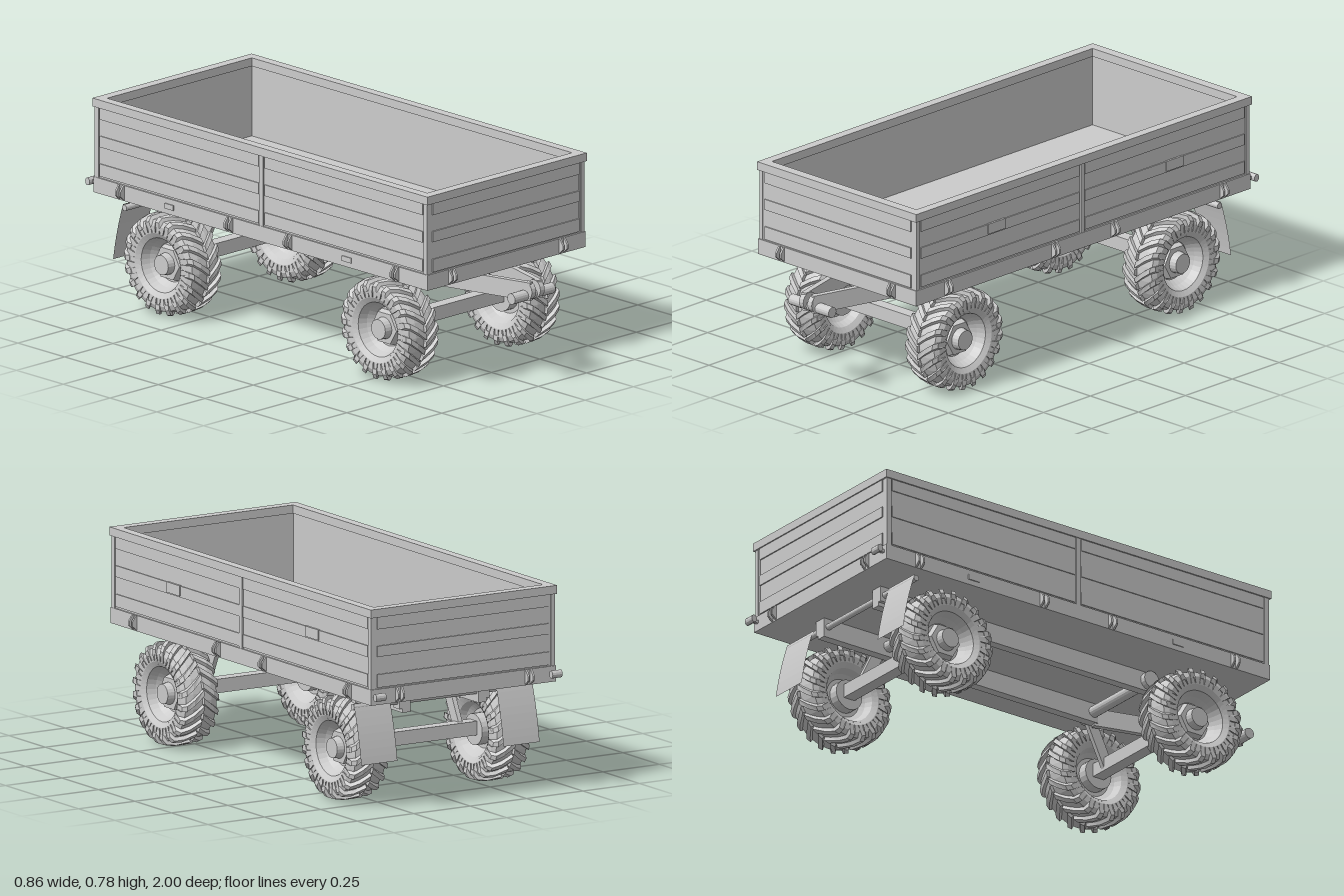
import * as THREE from 'three';

const grey = new THREE.MeshStandardMaterial({ color: 0xcccccc, flatShading: true });
const thin = new THREE.MeshStandardMaterial({ color: 0xcccccc, flatShading: true, side: THREE.DoubleSide });
const V = (x, y, z) => new THREE.Vector3(x, y, z);

function add(parent, name, geometry, material = grey) {
  const mesh = new THREE.Mesh(geometry, material);
  mesh.name = name;
  parent.add(mesh);
  return mesh;
}

// Box given by its extents on each axis
function box(parent, name, x0, x1, y0, y1, z0, z1) {
  const m = add(parent, name, new THREE.BoxGeometry(x1 - x0, y1 - y0, z1 - z0));
  m.position.set((x0 + x1) / 2, (y0 + y1) / 2, (z0 + z1) / 2);
  return m;
}

// Cylinder lying along x
function rod(parent, name, x0, x1, y, z, r, sides = 16) {
  const m = add(parent, name, new THREE.CylinderGeometry(r, r, Math.abs(x1 - x0), sides));
  m.rotation.z = Math.PI / 2;
  m.position.set((x0 + x1) / 2, y, z);
  return m;
}

// Square bar between two points
function beam(parent, name, a, b, width, height) {
  const m = add(parent, name, new THREE.BoxGeometry(width, height, a.distanceTo(b)));
  m.position.copy(a).add(b).multiplyScalar(0.5);
  m.lookAt(b);
  return m;
}

// Swept chevron lugs around the x axis, staggered between the two halves
function treadGeometry() {
  const stations = [[0, 0.18, 0], [0, 0.198, 0], [0.042, 0.197, 0.17], [0.07, 0.189, 0.28],
    [0.081, 0.17, 0.32], [0.079, 0.15, 0.33], [0.068, 0.148, 0.33]];
  const pos = [], index = [], count = 20;
  for (const side of [1, -1]) for (let i = 0; i < count; i++) {
    const phi0 = (i + (side > 0 ? 0.5 : 0)) / count * Math.PI * 2;
    const base = pos.length / 3;
    stations.forEach(([x, r, sweep], k) => {
      const low = k === 0 ? r : r - 0.022;
      [[low, -0.085], [r, -0.055], [r, 0.055], [low, 0.085]].forEach(([rad, d]) => {
        const phi = phi0 - sweep + d;
        pos.push(side * x, rad * Math.cos(phi), rad * Math.sin(phi));
      });
      if (k === 0) return;
      for (let j = 0; j < 3; j++) {
        const a = base + (k - 1) * 4 + j, b = a + 4;
        if (side > 0) index.push(a, a + 1, b, b, a + 1, b + 1);
        else index.push(a, b, a + 1, b, b + 1, a + 1);
      }
    });
  }
  const g = new THREE.BufferGeometry();
  g.setAttribute('position', new THREE.Float32BufferAttribute(pos, 3));
  g.setIndex(index);
  g.computeVertexNormals();
  return g;
}

const lathe = (points, sides) =>
  new THREE.LatheGeometry(points.map(([r, h]) => new THREE.Vector2(r, h)), sides);

function createWheel(side, tread) {
  const wheel = new THREE.Group();
  wheel.name = 'wheel';
  add(wheel, 'tread', tread, thin);
  const turned = new THREE.Group();
  turned.name = 'tyreAndRim';
  turned.rotation.z = -side * Math.PI / 2;
  wheel.add(turned);
  add(turned, 'tyre', lathe([[0.105, -0.062], [0.125, -0.074], [0.155, -0.077], [0.175, -0.068], [0.183, -0.04],
    [0.184, 0], [0.183, 0.04], [0.175, 0.068], [0.155, 0.077], [0.125, 0.074], [0.105, 0.062]], 40), thin);
  add(turned, 'rim', lathe([[0, -0.02], [0.075, -0.02], [0.092, -0.035], [0.105, -0.062], [0.113, -0.067],
    [0.113, 0.067], [0.105, 0.062], [0.092, 0.03], [0.075, 0.005], [0, 0.005]], 32), thin);
  const hub = (name, r0, r1, y0, y1, sides) => {
    add(turned, name, new THREE.CylinderGeometry(r1, r0, y1 - y0, sides)).position.y = (y0 + y1) / 2;
  };
  hub('hubPlate', 0.075, 0.066, 0, 0.03, 6);
  hub('hubCap', 0.042, 0.038, 0.03, 0.06, 20);
  hub('brakeDrum', 0.06, 0.06, -0.06, -0.02, 20);
  return wheel;
}

// Pair of pointed hinge lugs, protruding along +z
function createHinge() {
  const hinge = new THREE.Group();
  hinge.name = 'hinge';
  const s = new THREE.Shape([[0, 0.423], [0.02, 0.44], [0.02, 0.457], [0.004, 0.48], [0, 0.48]]
    .map(([x, y]) => new THREE.Vector2(x, y)));
  for (const x of [-0.011, 0.011]) {
    const g = new THREE.ExtrudeGeometry(s, { depth: 0.008, bevelEnabled: false });
    g.rotateY(-Math.PI / 2);
    add(hinge, 'hingeLug', g).position.x = x + 0.004;
  }
  return hinge;
}

export function createModel() {
  const root = new THREE.Group();
  root.name = 'farmTrailer';
  const X = 0.41, F = 0.83, B = -0.955;

  // Load bed and walls
  const body = new THREE.Group();
  body.name = 'body';
  root.add(body);
  box(body, 'platform', -X, X, 0.42, 0.48, B, F);
  for (const s of [-1, 1]) {
    const sideBox = (name, a, b, ...rest) => box(body, name, Math.min(s * a, s * b), Math.max(s * a, s * b), ...rest);
    sideBox('sideWall', 0.38, 0.403, 0.48, 0.755, B + 0.006, F - 0.006);
    sideBox('sideRim', 0.375, 0.413, 0.753, 0.785, B - 0.003, F + 0.003);
    sideBox('middlePost', 0.4, 0.409, 0.48, 0.755, -0.07, -0.05);
    for (const z of [B + 0.004, F - 0.024])
      sideBox('cornerPost', 0.39, 0.408, 0.48, 0.755, z, z + 0.02);
    for (const [y0, y1] of [[0.487, 0.535], [0.6, 0.643], [0.707, 0.753]])
      for (const [z0, z1] of [[-0.045, 0.8], [-0.925, -0.075]])
        sideBox('sideRib', 0.4, 0.407, y0, y1, z0, z1);
    for (const z of [-0.55, 0.4]) {
      if (s > 0) sideBox('sidePlate', 0.4, 0.411, 0.605, 0.645, z - 0.045, z + 0.045);
      else sideBox('sideReflector', 0.405, 0.414, 0.44, 0.46, z - 0.025, z + 0.025);
    }
    for (const z of [-0.805, -0.225, 0.092, 0.663]) {
      const h = createHinge();
      h.rotation.y = s * Math.PI / 2;
      h.position.set(s * X, 0, z);
      body.add(h);
    }
  }
  for (const [end, s] of [[F, 1], [B, -1]]) {
    const endBox = (name, x, y0, y1, a, b) =>
      box(body, name, -x, x, y0, y1, Math.min(end + s * a, end + s * b), Math.max(end + s * a, end + s * b));
    endBox('endWall', 0.4, 0.48, 0.755, -0.032, -0.007);
    endBox('endRim', 0.413, 0.753, 0.785, -0.037, 0.003);
    for (const [y0, y1] of [[0.485, 0.535], [0.602, 0.643], [0.707, 0.753]])
      endBox('endRib', 0.38, y0, y1, -0.01, -0.002);
    for (const x of [-0.287, 0.287]) {
      const h = createHinge();
      h.rotation.y = s > 0 ? 0 : Math.PI;
      h.position.set(x, 0, end);
      body.add(h);
    }
  }

  // Rear lamps
  for (const s of [-1, 1]) {
    box(root, 'lampStem', s * 0.39 - 0.006, s * 0.39 + 0.006, 0.449, 0.461, -0.98, B);
    const lamp = rod(root, 'rearLamp', s * 0.39 - 0.022, s * 0.39 + 0.022, 0.455, -0.985, 0.015, 12);
    lamp.scale.z = 0.8;
  }

  // Chassis rails, axles and suspension arms
  const tread = treadGeometry();
  for (const s of [-1, 1])
    box(root, 'chassisRail', s * 0.168 - 0.018, s * 0.168 + 0.018, 0.345, 0.42, -0.825, 0.45);
  for (const [z, pivotZ] of [[0.53, 0.43], [-0.63, -0.525]]) {
    box(root, 'axle', -0.28, 0.28, 0.18, 0.233, z - 0.025, z + 0.025);
    rod(root, 'pivotTube', -0.21, 0.21, 0.385, pivotZ, 0.022);
    for (const s of [-1, 1]) {
      rod(root, 'pivotBoss', s * 0.185, s * 0.21, 0.385, pivotZ, 0.034);
      beam(root, 'suspensionArm', V(s * 0.194, 0.4, pivotZ), V(s * 0.194, 0.19, z), 0.018, 0.045);
      const wheel = createWheel(s, tread);
      wheel.position.set(s * 0.314, 0.198, z);
      root.add(wheel);
    }
  }

  // Drawbar with cross tube
  for (const s of [-1, 1]) {
    beam(root, 'drawbarArm', V(s * 0.168, 0.37, 0.44), V(s * 0.022, 0.37, 0.985), 0.022, 0.07);
    const eye = rod(root, 'drawbarTip', s * 0.011, s * 0.033, 0.37, 0.965, 0.035);
    eye.name = 'drawbarTip';
  }
  rod(root, 'hitchTube', -0.105, 0.105, 0.353, 0.963, 0.021);

  // Mudflap bar and curved flaps
  rod(root, 'mudflapBar', -0.395, 0.395, 0.387, -0.805, 0.012);
  for (const s of [-1, 1]) {
    box(root, 'mudflapBracket', s * 0.19 - 0.01, s * 0.19 + 0.01, 0.36, 0.42, -0.825, -0.785);
    const flap = new THREE.PlaneGeometry(0.16, 0.225, 1, 8);
    const p = flap.attributes.position;
    for (let i = 0; i < p.count; i++) {
      const t = 0.5 - p.getY(i) / 0.225;
      p.setZ(i, -0.812 - 0.075 * t + 0.022 * t * t);
    }
    flap.computeVertexNormals();
    add(root, 'mudflap', flap, thin).position.set(s * 0.315, 0.288, 0);
  }
  return root;
}
